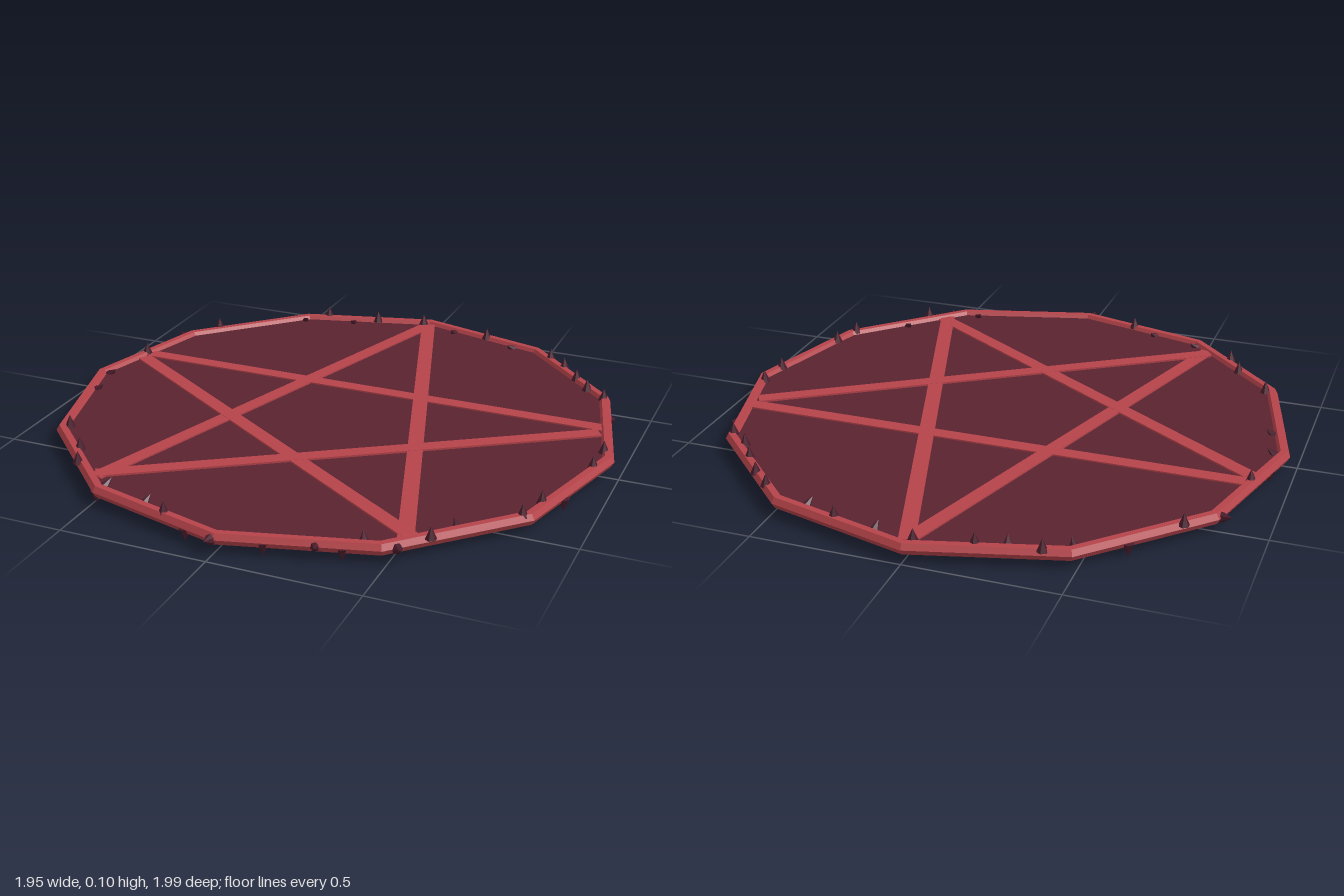
import * as THREE from 'three';

const mat = (name, color) => {
  const m = new THREE.MeshStandardMaterial({ color, flatShading: true });
  m.name = name;
  return m;
};

export function createModel() {
  const red = mat('crimson', 0xb5434a);
  const maroon = mat('maroon', 0x5a2330);
  const plum = mat('dark plum', 0x4a1c2c);

  const model = new THREE.Group();
  model.name = 'starDisc';
  const Y = 0.063, CZ = -0.023, R = 0.955, TUBE = 0.022;

  const add = (name, geometry, material, x, y, z, parent = model) => {
    const mesh = new THREE.Mesh(geometry, material);
    mesh.name = name;
    mesh.position.set(x, y, z);
    parent.add(mesh);
    return mesh;
  };

  // Twelve-sided rim and the plate filling it
  add('rim', new THREE.TorusGeometry(R, TUBE, 6, 12).rotateX(Math.PI / 2), red, 0, Y, CZ);
  add('plate', new THREE.CylinderGeometry(R, R, 0.012, 12), maroon, 0, Y, CZ);

  // Five flat bars crossing into a star: [x1, z1, x2, z2]
  const star = new THREE.Group();
  star.name = 'star';
  model.add(star);
  const bars = [
    [-0.9, -0.255, 0.9, -0.255],
    [0, -0.95, -0.53, 0.735], [0, -0.95, 0.53, 0.735],
    [-0.88, -0.21, 0.54, 0.717], [0.88, -0.21, -0.54, 0.717],
  ];
  bars.forEach(([x1, z1, x2, z2], i) => {
    const length = Math.hypot(x2 - x1, z2 - z1);
    const bar = add('starBar', new THREE.BoxGeometry(length, 0.008, 0.052), red,
      (x1 + x2) / 2, Y + 0.007 + i * 0.0004, (z1 + z2) / 2, star);
    bar.rotation.y = -Math.atan2(z2 - z1, x2 - x1);
  });

  // Thorns on the rim, by the way they point: [x, z] pairs
  const thorns = {
    up: [[-0.4, -0.88], [-0.2, -0.91], [0.26, -0.9], [0.55, -0.785], [0.62, -0.72], [0.69, -0.63],
      [0.75, -0.55], [0.825, -0.49], [0.93, -0.065], [0.925, 0.06], [0.84, 0.36], [0.81, 0.47],
      [0.6, 0.71], [-0.205, 0.875], [-0.63, 0.675], [-0.68, 0.58], [-0.805, 0.44],
      [-0.89, -0.25], [-0.755, -0.595], [-0.02, -0.95]],
    inward: [[-0.48, -0.82], [-0.29, -0.87], [0.12, -0.92], [0.38, -0.85], [0.65, 0.605],
      [0.42, 0.79], [-0.3, 0.83], [-0.475, 0.775], [-0.9, 0.115], [-0.93, -0.03]],
    outward: [[0.525, 0.79], [-0.01, 0.955], [-0.855, -0.49], [0.295, 0.87]],
    down: [[0.88, -0.37], [0.89, 0.28], [-0.88, 0.29], [-0.93, -0.13], [-0.62, -0.73],
      [-0.115, 0.91], [0.14, 0.9], [0.37, 0.84], [-0.49, 0.8]],
  };
  // For each kind: [radial lean, vertical lean, distance from the tube centre]
  const lean = { up: [0, 1, 0.031], inward: [-0.75, 0.65, 0.018], outward: [0.95, 0.3, 0.012], down: [0, -1, 0.026] };
  const cone = new THREE.ConeGeometry(0.019, 0.044, 6);
  const upAxis = new THREE.Vector3(0, 1, 0);
  const group = new THREE.Group();
  group.name = 'thorns';
  model.add(group);
  for (const kind in thorns) {
    const [out, rise, reach] = lean[kind];
    for (const [x, z] of thorns[kind]) {
      const a = Math.atan2(z - CZ, x);
      const dir = new THREE.Vector3(Math.cos(a) * out, rise, Math.sin(a) * out).normalize();
      const thorn = add('thorn', cone, plum, x, Y, z, group);
      thorn.position.addScaledVector(dir, reach);
      thorn.quaternion.setFromUnitVectors(upAxis, dir);
    }
  }
  return model;
}
